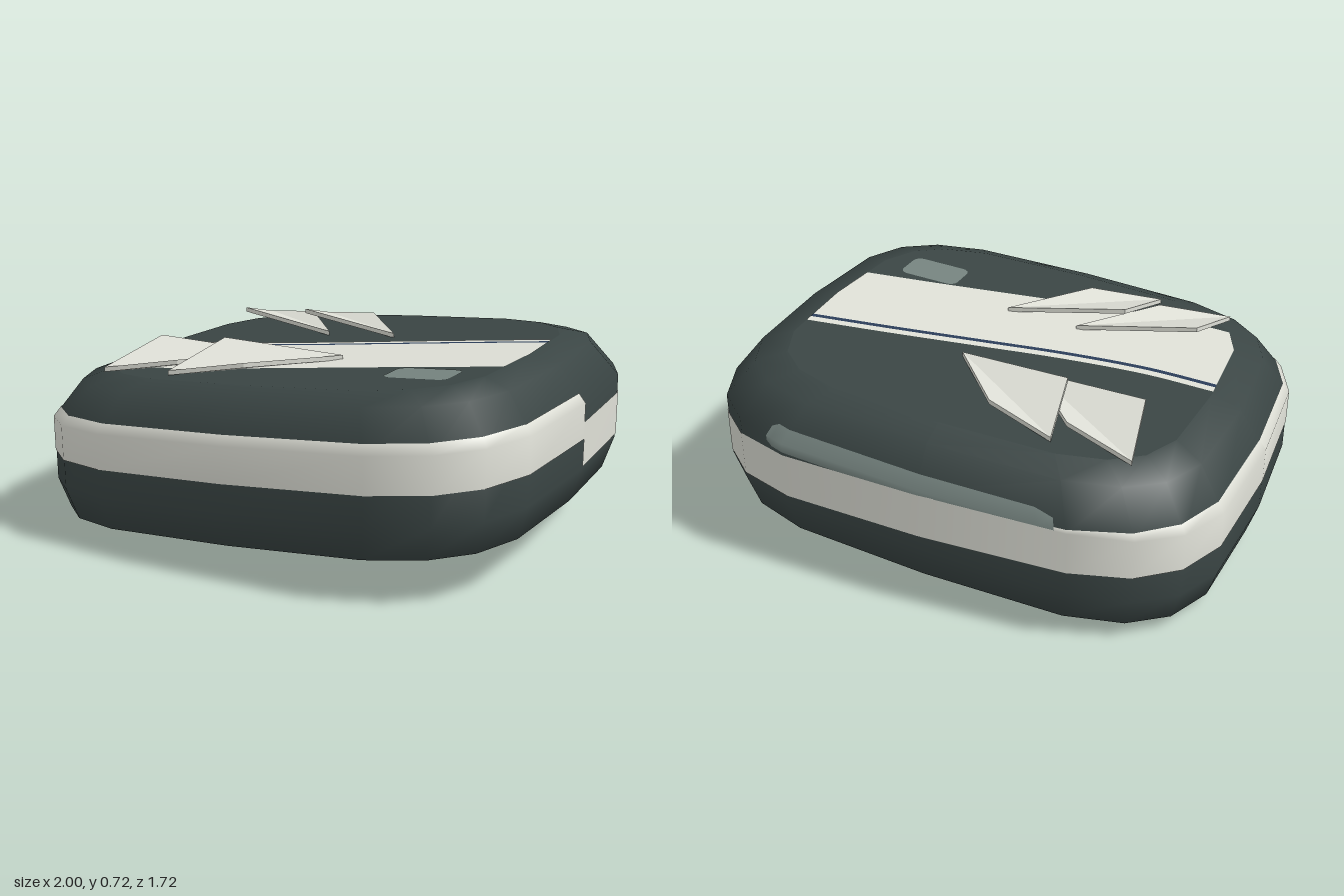
import * as THREE from 'three';
import { mergeVertices } from 'three/addons/utils/BufferGeometryUtils.js';

const SIDES = 20, MID = 0.362, HALF = 0.3, CAP = 0.785, DEPTH = 0.858;
// the whole block leans: height rises with x
const LEAN = new THREE.Matrix4().set(1, 0, 0, 0, 0.0764, 1, 0, MID, 0, 0, 1, 0, 0, 0, 0, 1);
// side profile: [scale of the outline, height]
const PROFILE = [[CAP, -HALF], [0.96, -0.243], [1, -0.12], [1, 0.13], [0.895, 0.267], [CAP, HALF]];

const material = (name, color, side = THREE.FrontSide) => {
  const m = new THREE.MeshStandardMaterial({ color, side });
  m.name = name;
  return m;
};

// rounded-square outline, straight between its corners
function outline(u) {
  const corner = (i) => {
    const a = (i % SIDES) / SIDES * Math.PI * 2;
    const p = (v) => (Math.abs(v) < 1e-9 ? 0 : Math.sign(v) * Math.pow(Math.abs(v), 0.52));
    return [0.997 * p(Math.cos(a)), DEPTH * p(Math.sin(a))];
  };
  const i = Math.floor(u), t = u - i, a = corner(i), b = corner(i + 1);
  return [a[0] + (b[0] - a[0]) * t, a[1] + (b[1] - a[1]) * t];
}

function scaleAt(y) {
  let i = 0;
  while (i < PROFILE.length - 2 && y > PROFILE[i + 1][1]) i++;
  const [s0, y0] = PROFILE[i], [s1, y1] = PROFILE[i + 1];
  return s0 + (s1 - s0) * (y - y0) / (y1 - y0);
}

// skin wrapped round the side at outline positions us, with heights given by rows(u)
function sideSkin(us, rows, lift = 0) {
  const pos = [], index = [], n = rows(us[0]).length;
  us.forEach((u, i) => {
    const [x, z] = outline(u);
    for (const y of rows(u)) {
      const s = scaleAt(y) + lift;
      pos.push(x * s, y, z * s);
    }
    if (i === 0) return;
    for (let j = 0; j < n - 1; j++) {
      const b = i * n + j, a = b - n;
      index.push(a, a + 1, b, b, a + 1, b + 1);
    }
  });
  let g = new THREE.BufferGeometry();
  g.setAttribute('position', new THREE.Float32BufferAttribute(pos, 3));
  g.setIndex(index);
  g = mergeVertices(g);
  g.computeVertexNormals();
  return g.applyMatrix4(LEAN);
}

// flat sheet on the top (side 1) or underside (side -1) from [x, z] points
function sheet(points, side, lift) {
  const shape = new THREE.Shape(points.map(([x, z]) => new THREE.Vector2(x, -side * z)));
  return new THREE.ShapeGeometry(shape)
    .rotateX(-side * Math.PI / 2)
    .translate(0, side * (HALF + lift), 0)
    .applyMatrix4(LEAN);
}

// trims a polygon to the convex cap
function trim(points, cap) {
  return cap.reduce((poly, a, i) => {
    const b = cap[(i + 1) % cap.length], out = [];
    const d = (p) => (b[0] - a[0]) * (p[1] - a[1]) - (b[1] - a[1]) * (p[0] - a[0]);
    poly.forEach((p, k) => {
      const q = poly[(k + 1) % poly.length], dp = d(p), dq = d(q);
      if (dp >= 0) out.push(p);
      if (dp * dq < 0) {
        const t = dp / (dp - dq);
        out.push([p[0] + (q[0] - p[0]) * t, p[1] + (q[1] - p[1]) * t]);
      }
    });
    return out;
  }, points);
}

// folded blade: four corners, creased along the diagonal, with a little thickness
function bladeGeometry(shift, mirror) {
  const top = [[-0.68, 0.02, 0.6], [-0.625, 0.088, 0.305], [-0.165, 0.016, 0.21], [-0.41, 0.04, 0.51]]
    .map(([x, y, z]) => [x + shift, y + HALF, z * mirror]);
  const all = [...top, ...top.map(([x, y, z]) => [x, y - 0.018, z])];
  const faces = [[0, 2, 1], [0, 3, 2], [4, 5, 6], [4, 6, 7]];
  for (let i = 0; i < 4; i++) {
    const j = (i + 1) % 4;
    faces.push([i, j, j + 4], [i, j + 4, i + 4]);
  }
  const pos = faces.flatMap(([a, b, c]) => (mirror > 0 ? [a, b, c] : [a, c, b]).flatMap((k) => all[k]));
  const g = new THREE.BufferGeometry();
  g.setAttribute('position', new THREE.Float32BufferAttribute(pos, 3));
  g.applyMatrix4(LEAN);
  g.computeVertexNormals();
  return g;
}

export function createModel() {
  const model = new THREE.Group();
  const dark = material('dark shell', 0x3a4544);
  const light = material('pale trim', 0xdedfd6, THREE.DoubleSide);
  const blue = material('navy line', 0x2a3c58, THREE.DoubleSide);
  const glass = material('grey glass', 0x75837f, THREE.DoubleSide);
  const add = (name, geometry, mat) => {
    const mesh = new THREE.Mesh(geometry, mat);
    mesh.name = name;
    model.add(mesh);
  };
  const range = (from, to) => Array.from({ length: to - from + 1 }, (_, i) => from + i);

  // shell
  add('shellSide', sideSkin(range(0, SIDES), () => PROFILE.map((p) => p[1])), dark);
  const cap = range(0, SIDES - 1).map((u) => outline(u).map((v) => v * CAP));

  // side stripe: level with the shell in front, sinking along the back
  add('frontStripe', sideSkin(range(0, 10), () => [-0.005, 0.13, 0.165], 0.003), light);
  add('backStripe', sideSkin(range(10, 20), (u) => {
    const drop = 0.105 * (outline(u)[0] + 1) / 2, high = 0.165 - drop;
    return [-0.005 - drop, Math.min(0.13, high - 0.002), high];
  }, 0.003), light);

  // long window above the back stripe
  add('backWindow', sideSkin([14.08, 14.2, 15, 16, 16.25, 16.36], (u) => {
    const end = u < 14.1 || u > 16.3 ? 0.015 : 0;
    return [0.095 + end, 0.13, 0.178 - end];
  }, 0.002), glass);

  // swept band, navy line and small window on both flat faces
  const sweep = new THREE.SplineCurve([[-0.9, 0.06], [-0.75, 0.06], [-0.5, 0.052], [-0.2, 0.003],
    [0.1, -0.067], [0.45, -0.15], [0.77, -0.22], [0.9, -0.248]].map(([x, z]) => new THREE.Vector2(x, z)));
  const path = sweep.getPoints(40);
  const ribbon = (lo, hi) => trim([
    ...path.map((p) => [p.x, p.y + lo]),
    ...path.slice().reverse().map((p) => [p.x, p.y + hi]),
  ], cap);
  const pane = [];
  for (let i = 0; i < 20; i++) {
    const corner = Math.floor(i / 5), a = (corner + (i % 5) / 4) * Math.PI / 2;
    const sx = corner === 0 || corner === 3 ? 1 : -1, sz = corner < 2 ? 1 : -1;
    pane.push([0.535 + sx * 0.09 + 0.035 * Math.cos(a), 0.38 + sz * 0.045 + 0.035 * Math.sin(a)]);
  }
  for (const [label, side] of [['top', 1], ['bottom', -1]]) {
    add(label + 'Face', sheet(cap, side, 0), dark);
    add(label + 'Band', sheet(ribbon(0.011, 0.44), side, 0.002), light);
    add(label + 'Line', sheet(ribbon(-0.011, 0.011), side, 0.002), blue);
    add(label + 'Edging', sheet(ribbon(-0.045, -0.011), side, 0.002), light);
    add(label + 'Window', sheet(pane, side, 0.002), glass);
  }

  // two pairs of folded blades on the top
  for (const [label, mirror] of [['front', 1], ['back', -1]]) {
    [0, 0.293].forEach((shift, i) => add(label + 'Blade' + (i + 1), bladeGeometry(shift, mirror), light));
  }
  return model;
}
